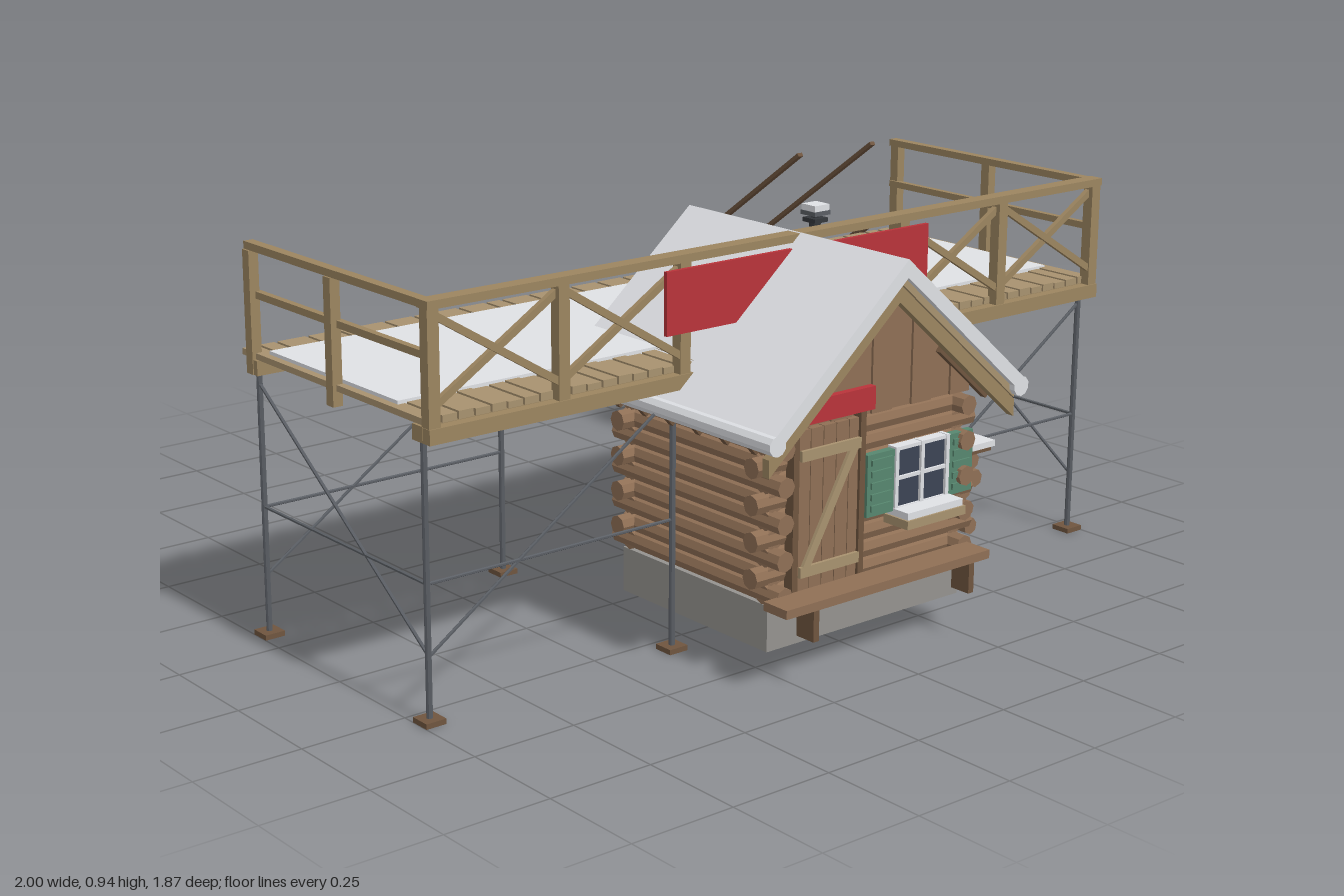
import * as THREE from 'three';

const C = { deck: 0xa8926f, rail: 0x9c8560, log: 0x8f6f55, dark: 0x6f553f, snow: 0xdfe1e5, red: 0xb9343a,
  green: 0x57876f, metal: 0x5a5e64, stone: 0x95938f, glass: 0x3c4454, black: 0x34373b };
const mats = {};
const mat = (c) => (mats[c] ??= new THREE.MeshStandardMaterial({ color: c, flatShading: true }));
const V = (x, y, z) => new THREE.Vector3(x, y, z);

export function createModel() {
  const root = new THREE.Group();
  let group = root;
  const part = (name) => { group = new THREE.Group(); group.name = name; root.add(group); };
  const add = (name, geo, color) => {
    const m = new THREE.Mesh(geo, mat(color));
    m.name = name;
    group.add(m);
    return m;
  };
  // Box given by its min and max on each axis
  const box = (name, x0, x1, y0, y1, z0, z1, color) => {
    const m = add(name, new THREE.BoxGeometry(x1 - x0, y1 - y0, z1 - z0), color);
    m.position.set((x0 + x1) / 2, (y0 + y1) / 2, (z0 + z1) / 2);
    return m;
  };
  // Square beam between two points
  const beam = (name, a, b, w, h, color) => {
    const m = add(name, new THREE.BoxGeometry(w, h, a.distanceTo(b)), color);
    m.position.copy(a).lerp(b, 0.5);
    m.lookAt(b);
    return m;
  };
  // Round rod between two points
  const rod = (name, a, b, r, color, sides = 8) => {
    const geo = new THREE.CylinderGeometry(r, r, a.distanceTo(b), sides).rotateX(Math.PI / 2);
    const m = add(name, geo, color);
    m.position.copy(a).lerp(b, 0.5);
    m.lookAt(b);
    return m;
  };
  const extrude = (name, pts, z0, z1, color) => {
    const shape = new THREE.Shape(pts.map((p) => new THREE.Vector2(...p)));
    const m = add(name, new THREE.ExtrudeGeometry(shape, { depth: z1 - z0, bevelEnabled: false }), color);
    m.position.z = z0;
    return m;
  };

  // Platform: planks across two long beams, with snow on top
  part('platform');
  for (const z of [0.555, -0.08]) box('deckBeam', -0.99, 0.99, 0.612, 0.646, z - 0.018, z + 0.018, C.rail);
  const planks = 48;
  for (let i = 0; i < planks; i++) {
    const x = -0.965 + (1.93 * i) / (planks - 1);
    const jitter = ((i * 7) % 5) * 0.003;
    box('deckPlank', x - 0.018, x + 0.018, 0.646, 0.66 + jitter * 0.3, -0.135 + jitter, 0.575, C.deck);
  }
  box('deckSnow', -0.965, 0.965, 0.655, 0.668, -0.05, 0.45, C.snow);

  // Railing: crossed bays along the front, two rails at each end
  part('railing');
  const postX = [-0.975, -0.65, -0.325, 0.325, 0.65, 0.975];
  box('frontTopRail', -0.99, 0.99, 0.89, 0.908, 0.562, 0.6, C.rail);
  box('frontBottomRail', -0.99, 0.99, 0.612, 0.645, 0.575, 0.6, C.rail);
  for (const x of postX) box('frontPost', x - 0.014, x + 0.014, 0.612, 0.89, 0.57, 0.597, C.rail);
  const bays = [[0, 1], [1, 2], [3, 4], [4, 5]];
  for (const [i, j] of bays) {
    const a = postX[i], b = postX[j];
    beam('crossBrace', V(a, 0.68, 0.58), V(b, 0.88, 0.58), 0.012, 0.016, C.rail);
    beam('crossBrace', V(a, 0.88, 0.588), V(b, 0.68, 0.588), 0.012, 0.016, C.rail);
  }
  for (const s of [-1, 1]) {
    for (const z of [0.235, -0.09])
      box('endPost', s * 0.98 - 0.012, s * 0.98 + 0.012, 0.612, 0.89, z - 0.013, z + 0.013, C.rail);
    box('endTopRail', s * 0.975 - 0.012, s * 0.975 + 0.012, 0.89, 0.907, -0.105, 0.6, C.rail);
    box('endMidRail', s * 0.97 - 0.008, s * 0.97 + 0.008, 0.782, 0.798, -0.1, 0.585, C.rail);
  }
  box('signBoard', -0.39, 0.385, 0.74, 0.88, 0.602, 0.612, C.red);

  // Scaffold legs with foot plates and thin bracing
  part('scaffold');
  for (const z of [0.555, -0.08]) {
    for (const x of [-0.975, -0.325, 0.325, 0.975]) {
      rod('leg', V(x, 0.005, z), V(x, 0.615, z), 0.007, C.metal);
      box('footPlate', x - 0.025, x + 0.025, 0, 0.012, z - 0.025, z + 0.025, C.dark);
    }
    rod('braceRail', V(-0.975, 0.305, z), V(-0.325, 0.305, z), 0.004, C.metal, 6);
    rod('braceRail', V(0.325, 0.305, z), V(0.975, 0.305, z), 0.004, C.metal, 6);
    rod('diagonalBrace', V(-0.975, 0.145, z), V(-0.325, 0.59, z), 0.004, C.metal, 6);
    rod('diagonalBrace', V(0.325, 0.145, z), V(0.975, 0.59, z), 0.004, C.metal, 6);
  }
  for (const x of [-0.975, 0.975]) {
    rod('endBraceRail', V(x, 0.305, 0.555), V(x, 0.305, -0.08), 0.004, C.metal, 6);
    rod('endDiagonalBrace', V(x, 0.15, 0.555), V(x, 0.59, -0.08), 0.004, C.metal, 6);
  }

  // Stairs behind the platform
  part('stairs');
  for (let i = 0; i < 12; i++) {
    const z = -0.18 - 0.0655 * i, y = 0.627 - 0.047 * i;
    box('tread', 0.693, 0.947, y - 0.008, y + 0.008, z - 0.032, z + 0.028, C.deck);
  }
  for (const x of [0.692, 0.95]) {
    beam('stringer', V(x, 0.675, -0.155), V(x, 0.108, -0.933), 0.016, 0.016, C.dark);
    beam('handrail', V(x, 0.89, -0.155), V(x, 0.328, -0.933), 0.016, 0.01, C.dark);
  }

  // Cabin: stone base and log walls with alternating projecting ends
  part('cabinWalls');
  box('foundation', -0.29, 0.29, 0.07, 0.175, 0.34, 0.83, C.stone);
  for (let i = 0; i < 9; i++) {
    const y = 0.198 + 0.041 * i, r = 0.0235, out = i % 2 ? 0 : 0.035;
    for (const s of [-1, 1])
      rod('sideLog', V(s * 0.272, y, 0.34 - out), V(s * 0.272, y, 0.83 + out), r, C.log);
    for (const z of [0.362, 0.812])
      rod('endLog', V(-0.325 + out, y, z), V(0.325 - out, y, z), r, C.log);
  }

  // Roof: snow blanket over boards, rounded eaves, barge boards and gables
  const slope = 0.868;
  const chevron = (top, t, half) => {
    const e = top - slope * half;
    return [[0, top], [-half, e], [-half, e - t], [0, top - t], [half, e - t], [half, e]];
  };
  part('roof');
  extrude('roofSnow', chevron(0.91, 0.04, 0.37), 0.222, 0.935, C.snow);
  extrude('roofBoards', chevron(0.871, 0.02, 0.355), 0.235, 0.92, C.deck);
  for (const z of [0.245, 0.892]) extrude('bargeBoard', chevron(0.852, 0.04, 0.365), z, z + 0.02, C.rail);
  for (const s of [-1, 1]) {
    rod('eaveSnow', V(s * 0.362, 0.57, 0.222), V(s * 0.362, 0.57, 0.935), 0.023, C.snow, 10);
    for (let i = 0; i < 7; i++) {
      const z = 0.3 + 0.09 * i;
      beam('rafterTail', V(s * 0.2, 0.665, z), V(s * 0.35, 0.535, z), 0.015, 0.022, C.dark);
    }
  }
  for (const z of [0.35, 0.815]) {
    for (let i = 0; i < 10; i++) {
      const a = -0.3 + 0.06 * i, b = a + 0.06, h = (x) => 0.855 - slope * Math.abs(x);
      extrude('gableBoard', [[a, 0.55], [b, 0.55], [b, h(b)], [a, h(a)]], z, z + 0.015 + (i % 2) * 0.006, C.log);
    }
  }

  // Chimney pipe with a snowy cap
  part('chimney');
  rod('pipe', V(0.15, 0.76, 0.485), V(0.15, 0.905, 0.485), 0.014, C.black, 12);
  box('collar', 0.13, 0.17, 0.895, 0.905, 0.465, 0.505, C.black);
  box('cap', 0.126, 0.174, 0.912, 0.922, 0.461, 0.509, C.metal);
  rod('capStem', V(0.15, 0.9, 0.485), V(0.15, 0.915, 0.485), 0.01, C.black);
  box('capSnow', 0.128, 0.172, 0.922, 0.936, 0.463, 0.507, C.snow);

  // Plank door with a diagonal batten and a small board above
  part('door');
  for (let i = 0; i < 5; i++) {
    const x = -0.225 + 0.037 * i;
    box('doorPlank', x, x + 0.035, 0.185, 0.555, 0.83, 0.848, C.log);
  }
  for (const x of [-0.235, -0.042]) box('doorJamb', x - 0.008, x + 0.008, 0.178, 0.57, 0.83, 0.855, C.dark);
  for (const y of [0.24, 0.5]) box('doorBatten', -0.22, -0.048, y - 0.012, y + 0.012, 0.848, 0.856, C.deck);
  beam('doorBrace', V(-0.205, 0.245, 0.852), V(-0.065, 0.495, 0.852), 0.008, 0.02, C.deck);
  box('doorSign', -0.25, -0.015, 0.57, 0.622, 0.845, 0.862, C.red);

  // Window with frame, panes, shutters and snowy sill
  part('window');
  box('glass', 0.06, 0.22, 0.325, 0.465, 0.83, 0.85, C.glass);
  for (const x of [0.062, 0.14, 0.218]) box('mullion', x - 0.005, x + 0.005, 0.32, 0.468, 0.83, 0.857, C.snow);
  for (const y of [0.325, 0.395, 0.463]) box('glazingBar', 0.06, 0.22, y - 0.004, y + 0.004, 0.83, 0.856, C.snow);
  for (const [a, b] of [[-0.025, 0.056], [0.226, 0.3]]) {
    box('shutter', a, b, 0.322, 0.464, 0.835, 0.853, C.green);
    for (let i = 0; i < 5; i++)
      box('shutterSlat', a + 0.01, b - 0.01, 0.334 + 0.026 * i, 0.348 + 0.026 * i, 0.85, 0.858, C.green);
  }
  box('sill', 0.05, 0.23, 0.292, 0.312, 0.83, 0.905, C.deck);
  box('sillSnow', 0.055, 0.225, 0.312, 0.328, 0.835, 0.9, C.snow);

  // Bench along the front wall
  part('bench');
  box('benchSeat', -0.33, 0.28, 0.185, 0.205, 0.862, 0.935, C.log);
  for (const x of [-0.235, 0.235]) box('benchLeg', x - 0.008, x + 0.008, 0.11, 0.185, 0.872, 0.925, C.dark);

  // Stacked firewood under a snowy shelf
  part('firewood');
  for (let row = 0; row < 5; row++) {
    for (let col = 0; col < 2; col++) {
      const k = (row * 3 + col * 2) % 4;
      rod('firewoodLog', V(0.315 + 0.034 * col, 0.212 + 0.039 * row, 0.355 + 0.008 * k),
        V(0.315 + 0.034 * col, 0.212 + 0.039 * row, 0.79 + 0.01 * k), 0.018 + 0.001 * k, C.log, 7);
    }
  }
  box('shelf', 0.285, 0.375, 0.396, 0.406, 0.34, 0.84, C.dark);
  box('shelfSnow', 0.285, 0.382, 0.406, 0.42, 0.335, 0.845, C.snow);

  return root;
}
